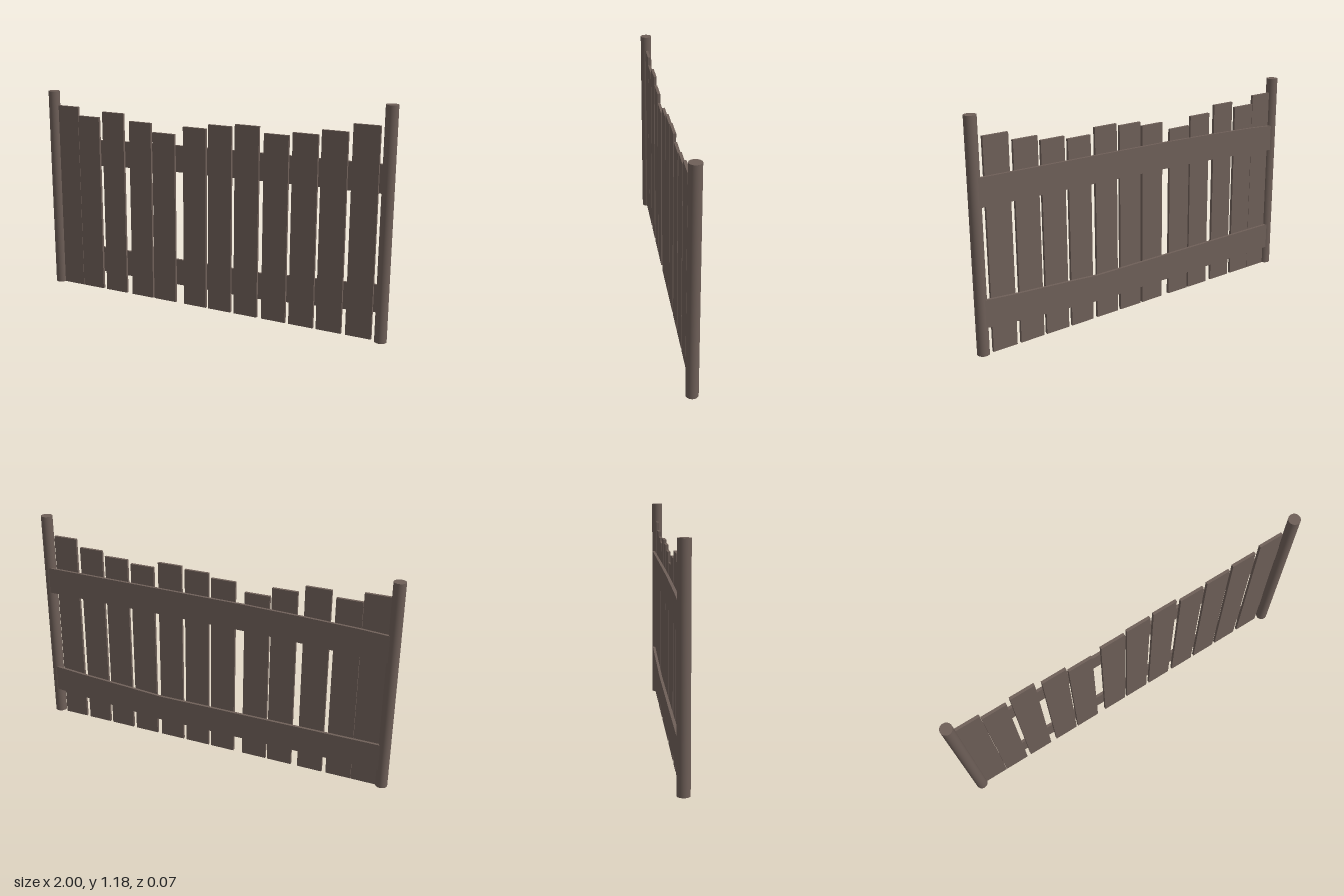
import * as THREE from 'three';

const wood = new THREE.MeshStandardMaterial({ color: 0x6e5f58 });
wood.name = 'weathered wood';

function add(group, name, geometry, x = 0, y = 0, z = 0) {
  const mesh = new THREE.Mesh(geometry, wood);
  mesh.name = name;
  mesh.position.set(x, y, z);
  group.add(mesh);
}

// Board running along x that follows a gently bent line of [x, bottom] points
function railGeometry(line, height, depth) {
  const shape = new THREE.Shape();
  line.forEach(([x, y], i) => (i ? shape.lineTo(x, y) : shape.moveTo(x, y)));
  [...line].reverse().forEach(([x, y]) => shape.lineTo(x, y + height));
  shape.closePath();
  return new THREE.ExtrudeGeometry(shape, { depth, bevelEnabled: false });
}

export function createModel() {
  const fence = new THREE.Group();
  fence.name = 'fence';

  // Round end posts
  for (const [name, x, h, z] of [['rightPost', -0.969, 1.12, -0.002], ['leftPost', 0.969, 1.185, 0.003]]) {
    add(fence, name, new THREE.CylinderGeometry(0.031, 0.031, h, 32), x, h / 2, z);
  }

  // Upright planks: centre x and height
  const planks = [
    [-0.876, 1.04], [-0.739, 0.992], [-0.581, 1.026], [-0.409, 0.988],
    [-0.264, 0.94], [-0.077, 0.986], [0.071, 1.01], [0.225, 1.024],
    [0.387, 0.992], [0.542, 1.01], [0.694, 1.037], [0.852, 1.08],
  ];
  planks.forEach(([x, h], i) => {
    add(fence, `plank${i + 1}`, new THREE.BoxGeometry(0.135, h, 0.015), x, h / 2, -0.004);
  });

  // Two rails behind the planks
  const upper = [[-0.965, 0.703], [-0.8, 0.714], [-0.5, 0.726], [-0.18, 0.735], [0.3, 0.742], [0.965, 0.75]];
  const lower = [[-0.965, 0.1], [0.29, 0.1], [0.5, 0.114], [0.78, 0.131], [0.965, 0.146]];
  add(fence, 'upperRail', railGeometry(upper, 0.144, 0.015), 0, 0, -0.027);
  add(fence, 'lowerRail', railGeometry(lower, 0.144, 0.015), 0, 0, -0.027);

  return fence;
}
